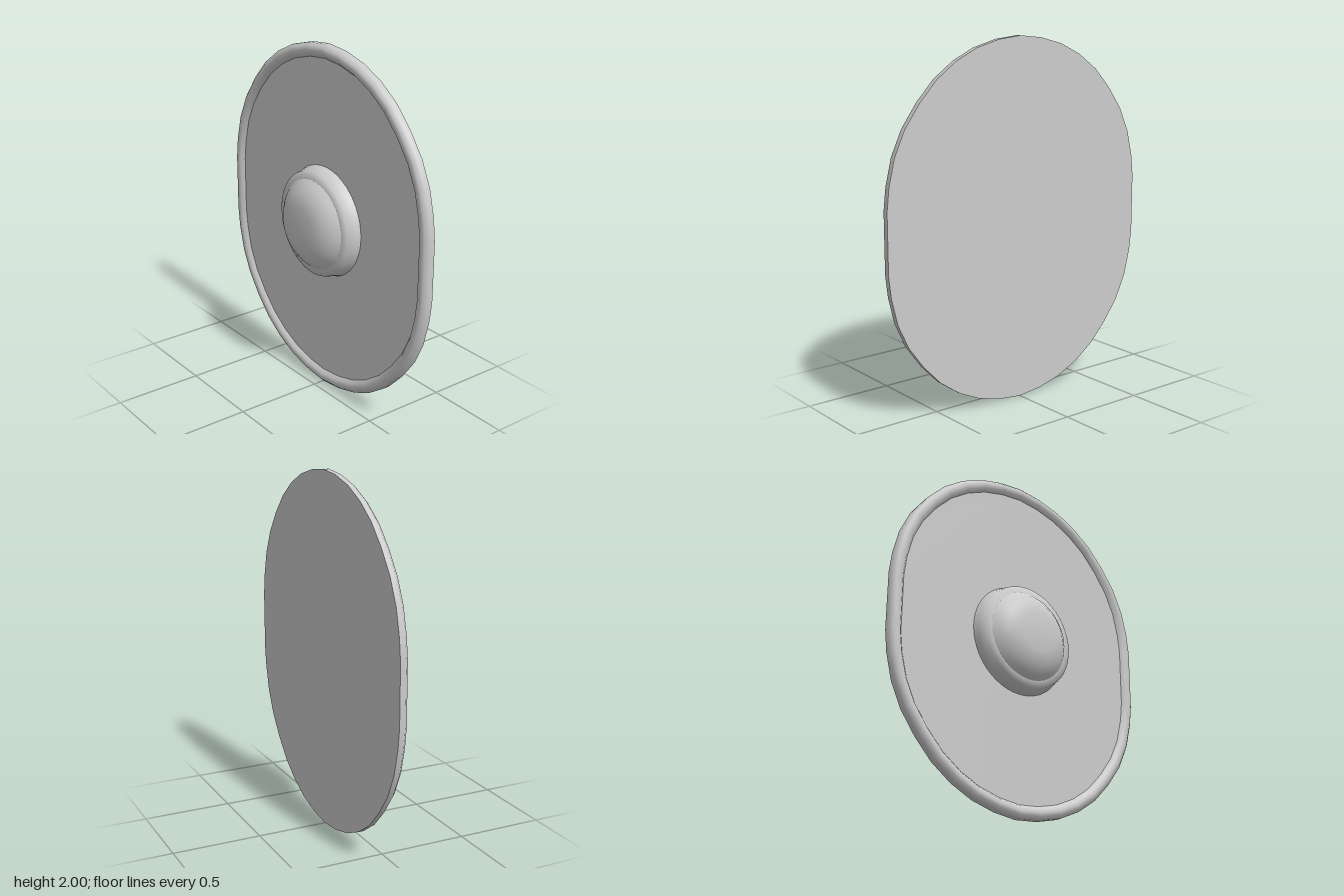
import * as THREE from 'three';

const BACK = -0.1, FACE = -0.07, CENTRE_Y = 1;

// One quarter of the outline, from the straight side up to the top
const QUARTER = [
  [0.85, 0.165], [0.836, 0.285], [0.8, 0.43], [0.737, 0.565], [0.645, 0.69],
  [0.54, 0.8], [0.418, 0.886], [0.285, 0.948], [0.143, 0.985], [0, 1],
];

// Full counter-clockwise outline, mirrored from the quarter
function outline() {
  const right = QUARTER.map(([x, y]) => new THREE.Vector2(x, y));
  const left = right.slice(0, -1).reverse().map((p) => new THREE.Vector2(-p.x, p.y));
  const upper = [...right, ...left];
  return [...upper, ...upper.map((p) => p.clone().negate())];
}

// Moves every outline point inward by a constant distance (mitred)
function inset(points, distance) {
  const n = points.length;
  const normal = (a, b) => new THREE.Vector2(a.y - b.y, b.x - a.x).normalize();
  return points.map((p, i) => {
    const n1 = normal(points[(i + n - 1) % n], p);
    const n2 = normal(p, points[(i + 1) % n]);
    const m = n1.clone().add(n2).normalize();
    return p.clone().addScaledVector(m, distance / m.dot(n1));
  });
}

// Sweeps a profile of [inset, z] pairs round the outline
function sweep(points, profile) {
  const n = points.length, position = [], index = [];
  for (const [d, z] of profile) {
    for (const p of inset(points, d)) position.push(p.x, p.y, z);
  }
  for (let j = 0; j < profile.length - 1; j++) {
    for (let i = 0; i < n; i++) {
      const k = (i + 1) % n;
      const a = j * n + i, b = j * n + k, c = b + n, d = a + n;
      index.push(a, b, c, a, c, d);
    }
  }
  const geometry = new THREE.BufferGeometry();
  geometry.setAttribute('position', new THREE.Float32BufferAttribute(position, 3));
  geometry.setIndex(index);
  geometry.computeVertexNormals();
  return geometry;
}

// Round part turned about the z axis from [radius, z] pairs
function turned(profile) {
  const points = profile.map(([r, z]) => new THREE.Vector2(r, z));
  return new THREE.LatheGeometry(points, 48).rotateX(Math.PI / 2);
}

export function createModel() {
  const group = new THREE.Group();
  const material = new THREE.MeshStandardMaterial({ color: 0xcccccc });
  const add = (name, geometry, y = CENTRE_Y) => {
    const mesh = new THREE.Mesh(geometry, material);
    mesh.name = name;
    mesh.position.y = y;
    group.add(mesh);
  };

  const edge = outline();

  // Raised rounded rim
  add('rim', sweep(edge, [
    [0, BACK], [0, -0.068], [0.018, -0.05], [0.036, -0.045], [0.058, -0.05], [0.075, FACE],
  ]));

  // Flat front and back of the board
  const face = new THREE.ShapeGeometry(new THREE.Shape(inset(edge, 0.075)));
  add('frontPanel', face.translate(0, 0, FACE));
  const back = new THREE.ShapeGeometry(new THREE.Shape(edge));
  add('backPanel', back.rotateY(Math.PI).translate(0, 0, BACK));

  // Central boss: collar and flattened dome
  add('bossCollar', turned([[0.317, FACE], [0.31, -0.045], [0.297, 0.008], [0.255, 0.016]]), 1.01);
  add('bossDome', turned([[0.26, 0.012], [0.235, 0.04], [0.19, 0.076], [0.115, 0.1], [0, 0.1]]), 1.01);

  return group;
}
